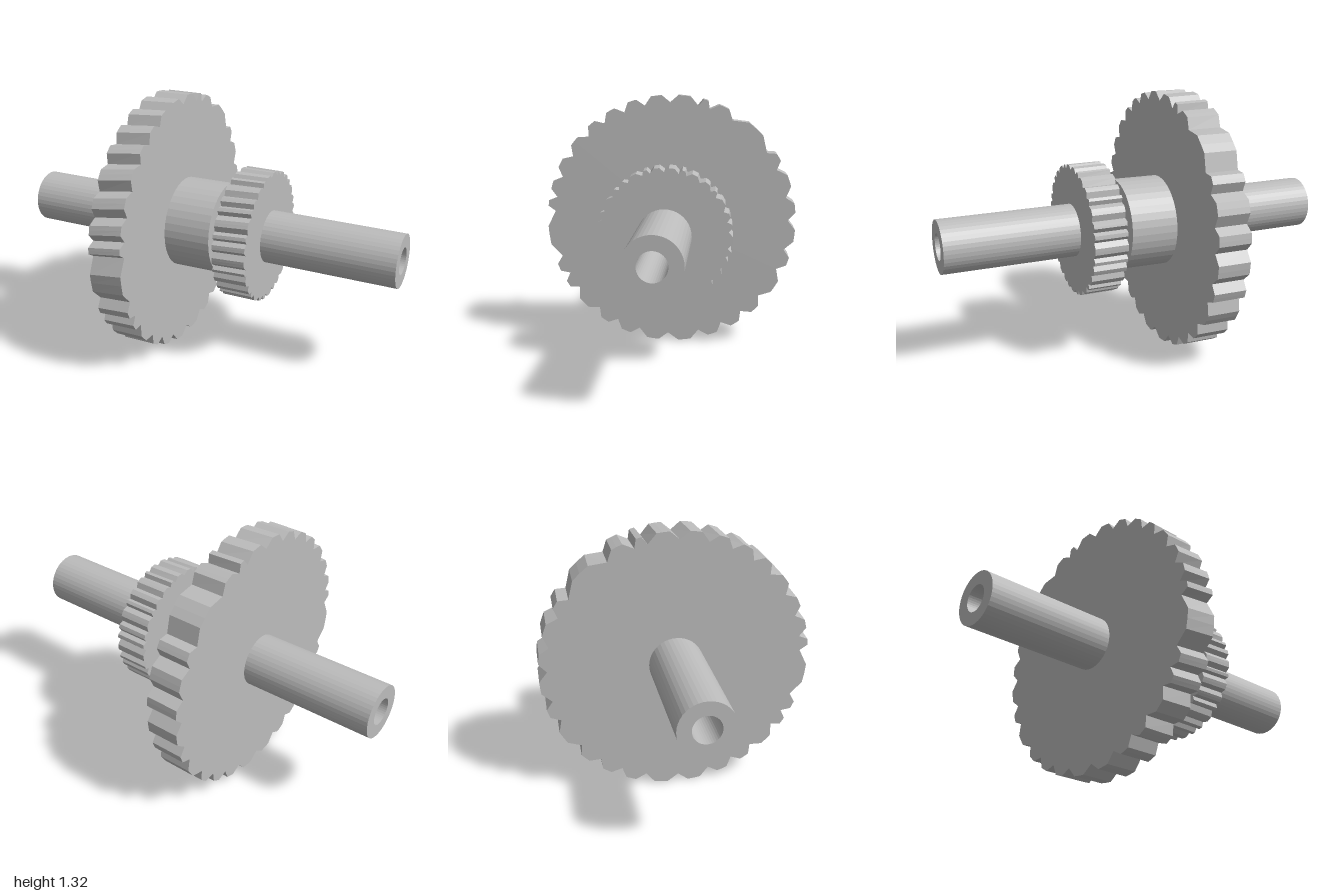
import * as THREE from 'three';

const AXIS_Y = 0.665;
const DEG = Math.PI / 180;

// Gear along x: each gap between neighbouring valleys holds one flat-topped tooth.
// Angles are in degrees from the top towards +z.
function gearGeometry(valleys, rootR, tipR, halfWidth) {
  const profile = [];
  valleys.forEach((start, i) => {
    const end = i + 1 < valleys.length ? valleys[i + 1] : valleys[0] + 360;
    profile.push([start, rootR]);
    for (const f of [0.32, 0.5, 0.7]) profile.push([start + (end - start) * f, tipR]);
  });
  // teeth skew a little across the width, most strongly on the upper front
  const ring = (x, side) => profile.map(([deg, r]) => {
    const skew = side * 2.2 * Math.max(0, Math.cos((deg - 55) * DEG));
    const a = (deg + skew) * DEG;
    return [x, r * Math.cos(a), r * Math.sin(a)];
  });
  const left = ring(halfWidth, 0);
  const right = ring(-halfWidth, 1);
  const pos = [];
  const tri = (...pts) => pts.forEach((p) => pos.push(...p));
  for (let i = 0; i < profile.length; i++) {
    const j = (i + 1) % profile.length;
    tri([halfWidth, 0, 0], left[i], left[j]);
    tri([-halfWidth, 0, 0], right[j], right[i]);
    tri(right[i], right[j], left[i]);
    tri(right[j], left[j], left[i]);
  }
  const geo = new THREE.BufferGeometry();
  geo.setAttribute('position', new THREE.Float32BufferAttribute(pos, 3));
  geo.computeVertexNormals();
  return geo;
}

export function createModel() {
  const group = new THREE.Group();
  const steel = new THREE.MeshStandardMaterial({ color: 0xbcbcbc, flatShading: true });
  steel.name = 'grey steel';

  const add = (name, geo, x, tilt = 0) => {
    const mesh = new THREE.Mesh(geo, steel);
    mesh.name = name;
    mesh.position.set(x, AXIS_Y, 0);
    mesh.rotation.z = tilt;
    group.add(mesh);
  };

  // Shaft with a blind bore in each end
  const shaftProfile = [
    [0, -0.325], [0.067, -0.325], [0.067, -1], [0.133, -1],
    [0.133, 1], [0.067, 1], [0.067, 0.325], [0, 0.325],
  ].map(([r, y]) => new THREE.Vector2(r, y));
  add('shaft', new THREE.LatheGeometry(shaftProfile, 40).rotateZ(-Math.PI / 2), 0);

  // Hub between the gears
  add('hub', new THREE.CylinderGeometry(0.232, 0.232, 0.265, 40).rotateZ(-Math.PI / 2), -0.041, 0.014);

  // Large gear with unevenly worn teeth
  const wornValleys = [
    0, 12.6, 23.2, 34.3, 44.5, 57, 68.5, 78.9, 86, 109, 118.4, 126.9, 141.5, 152.4, 164.2,
    178.7, 194, 206, 217.4, 229.2, 245.5, 255.8, 270.3, 281.7, 296, 305.5, 328.5, 340.8, 346.5,
  ];
  add('largeGear', gearGeometry(wornValleys, 0.622, 0.663, 0.085), -0.237, 0.007);

  // Small gear with finer teeth
  const count = 33;
  const fineValleys = Array.from({ length: count }, (_, i) => (i + 0.2 * Math.sin(i * 2.3)) * 360 / count);
  add('smallGear', gearGeometry(fineValleys, 0.311, 0.331, 0.085), 0.241);

  return group;
}
